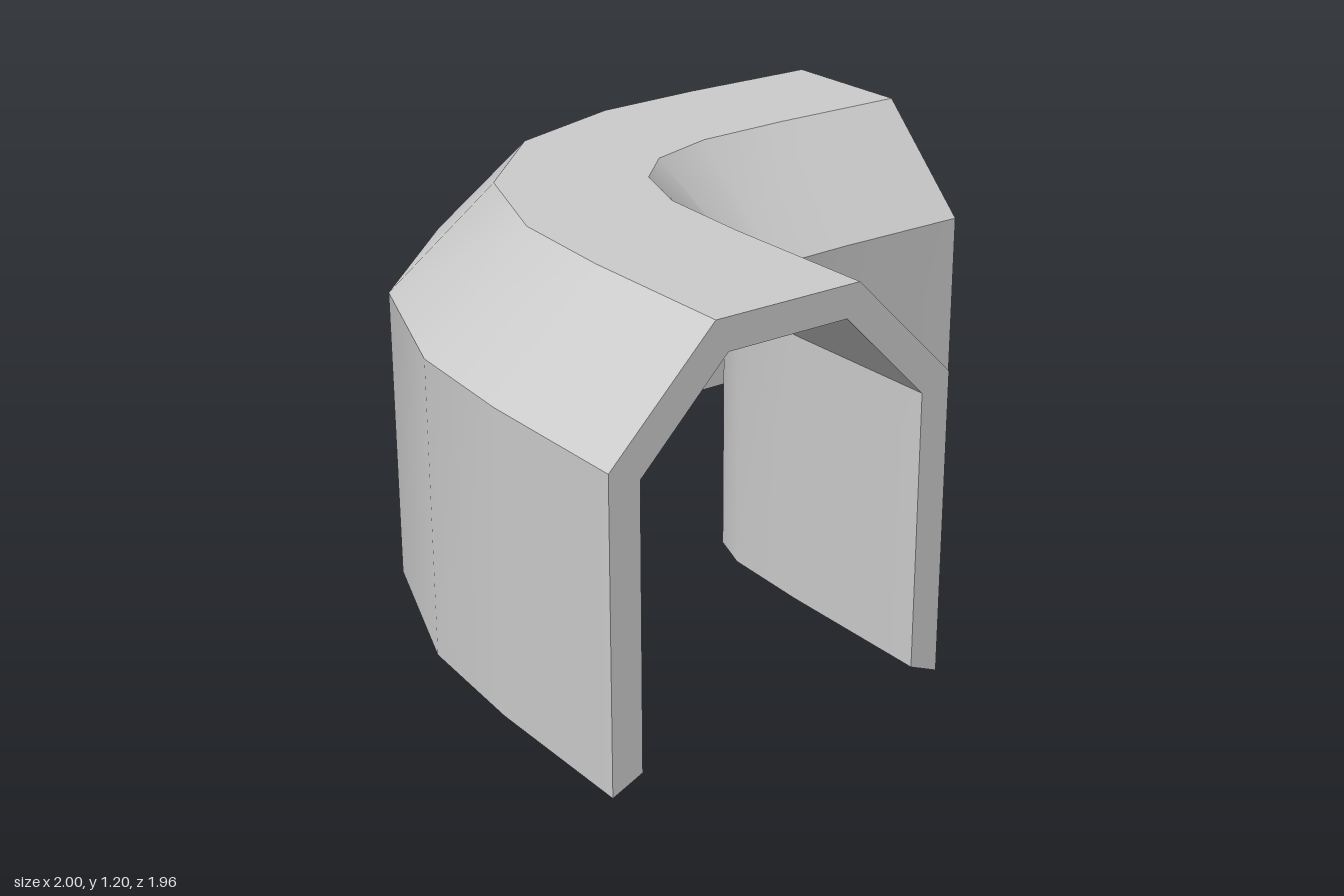
import * as THREE from 'three';

// Stations along the bend: foot of outer wall (x, z), foot of inner wall (x, z)
const STATIONS = [
  [1, 0.98, 1, -0.1], [0.5, 0.98, 0.5, -0.1], [0.11, 0.95, 0.225, -0.11],
  [-0.39, 0.77, 0.132, -0.142], [-0.8, 0.36, 0.118, -0.158],
  [-0.975, -0.14, 0.087, -0.26], [-1, -0.53, 0.075, -0.53], [-1, -0.98, 0.075, -0.98],
];

// Closed cross-section (distance across, height): over the outside, back along the inside
const PROFILE = [
  [0, 0], [0.292, 1.2], [0.708, 1.2], [1, 0],
  [0.915, 0.04], [0.672, 1.11], [0.328, 1.11], [0.085, 0.04],
];
// Shoulders where the walls meet the sloped roof
PROFILE.splice(7, 0, [0.085, 0.845]);
PROFILE.splice(5, 0, [0.915, 0.845]);
PROFILE.splice(3, 0, [1, 0.885]);
PROFILE.splice(1, 0, [0, 0.885]);

const NAMES = ['outerWall', 'outerSlope', 'roof', 'innerSlope', 'innerWall', 'innerWallFoot',
  'innerWallLining', 'innerSlopeLining', 'ceiling', 'outerSlopeLining', 'outerWallLining', 'outerWallFoot'];

function point(s, k) {
  const [ox, oz, ix, iz] = STATIONS[s];
  const [t, y] = PROFILE[k % PROFILE.length];
  return [ox + (ix - ox) * t, y, oz + (iz - oz) * t];
}

function makeMesh(name, positions, index, material) {
  const g = new THREE.BufferGeometry();
  g.setAttribute('position', new THREE.Float32BufferAttribute(positions, 3));
  g.setIndex(index);
  g.computeVertexNormals();
  const mesh = new THREE.Mesh(g, material);
  mesh.name = name;
  return mesh;
}

export function createModel() {
  const group = new THREE.Group();
  group.name = 'curvedTunnel';
  const material = new THREE.MeshStandardMaterial({ color: 0xcccccc });
  const n = PROFILE.length;
  const last = STATIONS.length - 1;

  // One strip per profile side: smooth along the bend, sharp between sides
  for (let k = 0; k < n; k++) {
    const positions = [], index = [];
    for (let s = 0; s <= last; s++) {
      positions.push(...point(s, k), ...point(s, k + 1));
      const a = s * 2;
      if (s < last) index.push(a, a + 1, a + 2, a + 1, a + 3, a + 2);
    }
    group.add(makeMesh(NAMES[k], positions, index, material));
  }

  // Flat arch-shaped rims closing the wall thickness at both openings
  for (const [name, s] of [['sideOpeningRim', 0], ['backOpeningRim', last]]) {
    const positions = [], index = [];
    for (let k = 0; k < n; k++) positions.push(...point(s, k));
    for (let k = 0; k < n / 2 - 1; k++) {
      const a = k, b = k + 1, c = n - 2 - k, d = n - 1 - k;
      if (s === 0) index.push(a, d, c, a, c, b);
      else index.push(a, c, d, a, b, c);
    }
    group.add(makeMesh(name, positions, index, material));
  }
  return group;
}
